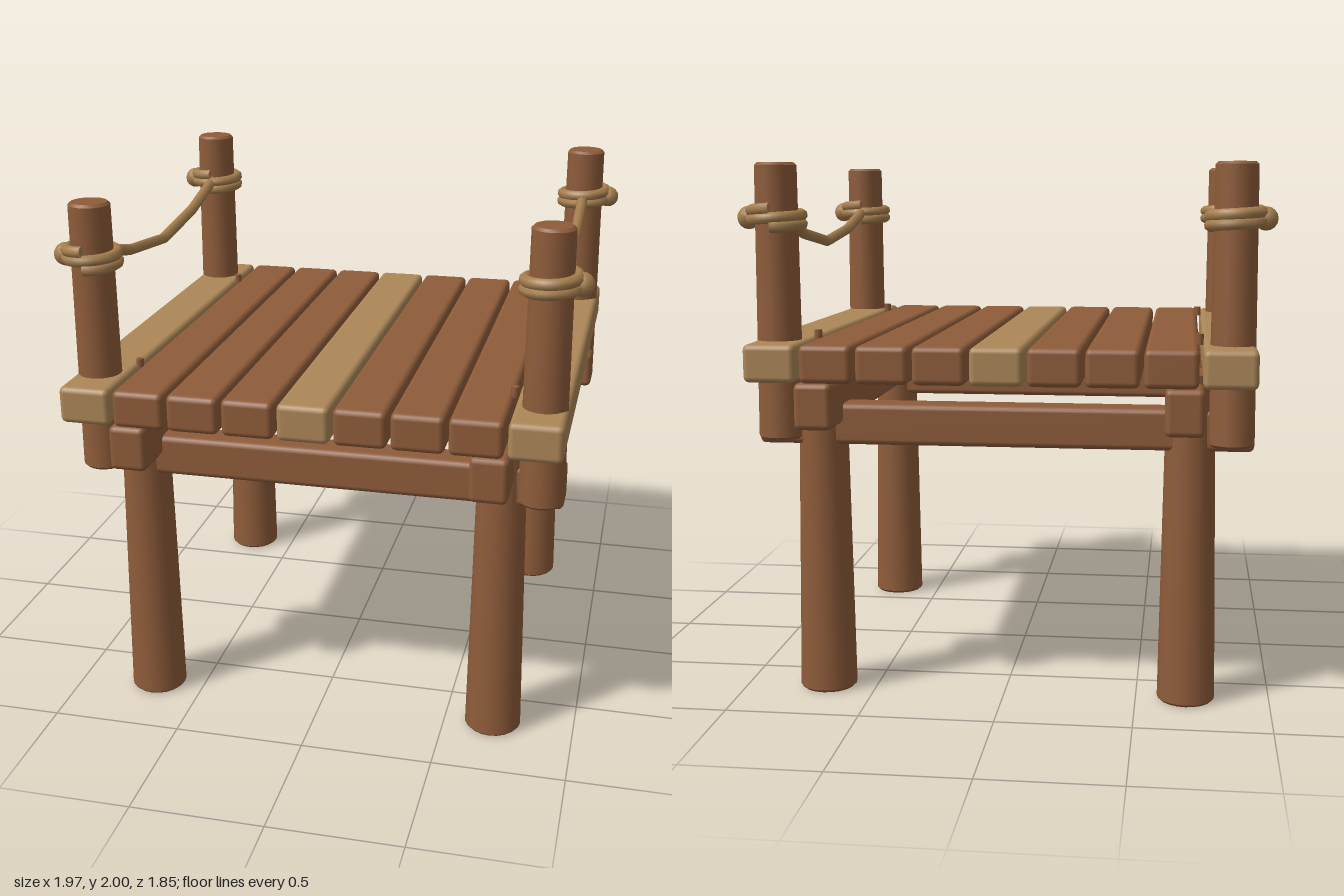
import * as THREE from 'three';
import { toCreasedNormals } from 'three/addons/utils/BufferGeometryUtils.js';
import { RoundedBoxGeometry } from 'three/addons/geometries/RoundedBoxGeometry.js';

const material = (name, color) => {
  const m = new THREE.MeshStandardMaterial({ color });
  m.name = name;
  return m;
};

export function createModel() {
  const model = new THREE.Group();
  model.name = 'ropeDock';
  const wood = material('brown wood', 0x8e5c3a);
  const paleWood = material('pale wood', 0xac8758);
  const ropeFibre = material('rope', 0xa57e4e);

  const add = (name, geometry, mat, x = 0, y = 0, z = 0, parent = model) => {
    const mesh = new THREE.Mesh(geometry, mat);
    mesh.name = name;
    mesh.position.set(x, y, z);
    parent.add(mesh);
    return mesh;
  };

  // Timber with softened edges
  const timber = (w, h, d) => new RoundedBoxGeometry(w, h, d, 2, 0.022);

  // Tapered round log with a small chamfer at both ends
  const log = (rBottom, rTop, y0, y1, c = 0.01) => {
    const profile = [
      [0, y0], [rBottom - c, y0], [rBottom, y0 + c],
      [rTop, y1 - c], [rTop - c, y1], [0, y1],
    ].map(([r, y]) => new THREE.Vector2(r, y));
    return toCreasedNormals(new THREE.LatheGeometry(profile, 20), 0.6);
  };

  // Deck planks, every fourth one pale
  for (let i = 0; i < 9; i++) {
    const x = (i - 4) * 0.2065;
    add('plank', timber(0.193, 0.14, 1.85), i % 4 === 0 ? paleWood : wood, x, 1.28, 0);
  }

  // Beams under the deck
  for (const s of [-1, 1]) {
    add('sideBeam', timber(0.14, 0.172, 1.85), wood, s * 0.668, 1.125, 0);
    add('crossBeam', timber(1.84, 0.155, 0.135), wood, 0, 1.036, s * 0.677);
  }

  // Two-turn rope binding, wound downwards from the front
  const coil = [];
  for (let i = 0; i <= 48; i++) {
    const t = i / 48, a = t * Math.PI * 4;
    coil.push(new THREE.Vector3(-Math.sin(a) * 0.092, 0.033 - t * 0.066, Math.cos(a) * 0.092));
  }
  const coilGeometry = new THREE.TubeGeometry(new THREE.CatmullRomCurve3(coil), 72, 0.022, 8);
  const endCap = new THREE.CircleGeometry(0.022, 8);

  const legGeometry = log(0.108, 0.088, 0, 1.25);
  const postGeometry = log(0.084, 0.077, 0.98, 2);
  const knotGeometry = new THREE.SphereGeometry(0.043, 12, 8);
  const nailGeometry = new THREE.CylinderGeometry(0.015, 0.015, 0.04, 8);

  for (const sx of [-1, 1]) {
    for (const sz of [-1, 1]) {
      add('leg', legGeometry, wood, sx * 0.688, 0, sz * 0.678);
      add('post', postGeometry, wood, sx * 0.837, 0, sz * 0.725);
      add('nail', nailGeometry, wood, sx * 0.717, 1.358, sz * 0.622);

      // Binding with its knot on the outer side
      const binding = new THREE.Group();
      binding.name = 'ropeBinding';
      binding.position.set(sx * 0.837, 1.8, sz * 0.725);
      if (sx > 0) binding.rotation.y = Math.PI;
      add('coil', coilGeometry, ropeFibre, 0, 0, 0, binding);
      add('coilEnd', endCap, ropeFibre, 0, 0.033, 0.092, binding).rotation.y = Math.PI / 2;
      add('coilEnd', endCap, ropeFibre, 0, -0.033, 0.092, binding).rotation.y = -Math.PI / 2;
      add('knot', knotGeometry, ropeFibre, -0.105, 0, 0, binding);
      model.add(binding);
    }

    // Sagging rope rail in four straight lengths
    const rail = new THREE.CurvePath();
    const points = [[-0.7, 1.815], [-0.365, 1.732], [0, 1.69], [0.365, 1.732], [0.7, 1.815]]
      .map(([z, y]) => new THREE.Vector3(sx * 0.837, y, z));
    for (let i = 0; i < 4; i++) rail.add(new THREE.LineCurve3(points[i], points[i + 1]));
    add('ropeRail', new THREE.TubeGeometry(rail, 32, 0.022, 8), ropeFibre);
  }

  return model;
}
